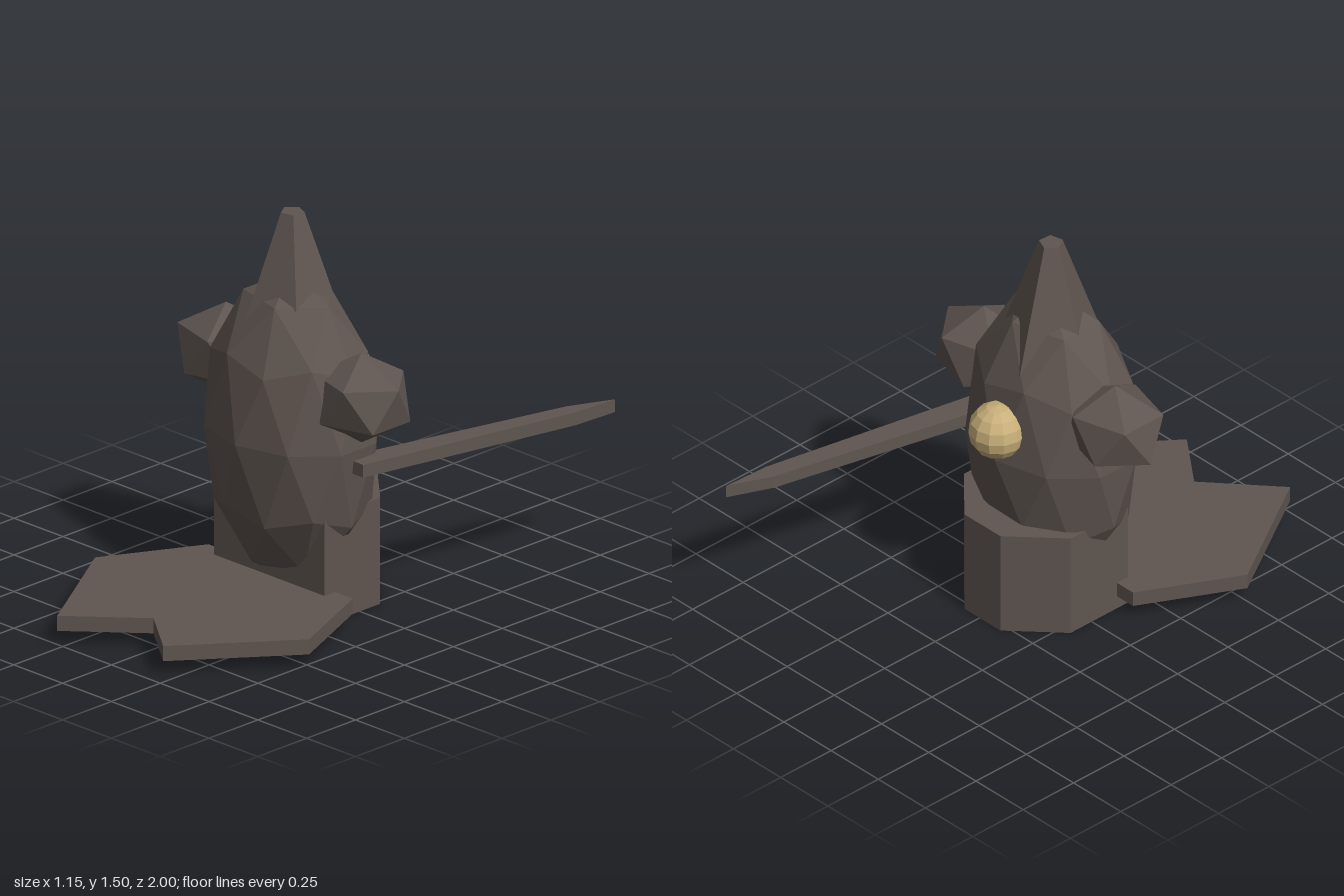
import * as THREE from 'three';

// Give every face its own flat normal
function faceted(geometry) {
  const g = geometry.index ? geometry.toNonIndexed() : geometry;
  g.computeVertexNormals();
  return g;
}

// Faceted ellipsoid with a vertex straight up and the next ring starting at +x
function icoBall(detail, rx, ry, rz) {
  const g = new THREE.IcosahedronGeometry(1, detail);
  g.rotateX(-Math.atan((1 + Math.sqrt(5)) / 2));
  g.rotateY(Math.PI / 2);
  g.scale(rx, ry, rz);
  return faceted(g);
}

// Horizontal slab from a list of [x, z] corners
function slab(corners, bottom, top) {
  const shape = new THREE.Shape(corners.map(([x, z]) => new THREE.Vector2(x, -z)));
  const g = new THREE.ExtrudeGeometry(shape, { depth: top - bottom, bevelEnabled: false });
  g.rotateX(-Math.PI / 2);
  g.translate(0, bottom, 0);
  return g;
}

export function createModel() {
  const model = new THREE.Group();
  model.name = 'model';

  const brown = new THREE.MeshStandardMaterial({ color: 0x5f5550 });
  brown.name = 'grey brown';
  const tan = new THREE.MeshStandardMaterial({ color: 0xc8af7a });
  tan.name = 'tan';

  const add = (name, geometry, material, x = 0, y = 0, z = 0) => {
    const mesh = new THREE.Mesh(geometry, material);
    mesh.name = name;
    mesh.position.set(x, y, z);
    model.add(mesh);
    return mesh;
  };

  // Egg-shaped body
  add('body', icoBall(1, 0.365, 0.6, 0.287), brown, -0.012, 0.67, 0.07);

  // Side lumps
  add('leftLump', icoBall(0, 0.212, 0.175, 0.182), brown, 0.335, 0.87, 0.055);
  add('rightLump', icoBall(0, 0.212, 0.175, 0.182), brown, -0.36, 0.87, 0.055);

  // Five-sided peak, blunt at the top
  const peak = add('peak', faceted(new THREE.CylinderGeometry(0.045, 0.22, 0.5, 5)), brown, -0.015, 1.25, 0.06);
  peak.rotation.y = THREE.MathUtils.degToRad(-22);

  // Round knob on the back
  add('backKnob', faceted(new THREE.SphereGeometry(0.108, 12, 8)), tan, -0.015, 0.8, -0.205);

  // Base block with chamfered back corners
  add('baseBlock', slab([
    [-0.295, 0.18], [0.27, 0.18], [0.27, -0.105],
    [0.08, -0.28], [-0.11, -0.28], [-0.295, -0.105],
  ], 0, 0.415), brown);

  // Notched plate spreading forward near the ground
  add('frontPlate', slab([
    [-0.38, 0.125], [-0.58, 0.505], [-0.278, 1], [-0.015, 0.77],
    [0.2, 0.935], [0.527, 0.515], [0.36, 0.125],
  ], 0.053, 0.112), brown);

  // Long blade reaching backward on the left
  add('blade', slab([
    [0.275, 0.092], [0.38, 0.092], [0.565, -0.81], [0.575, -1], [0.5, -0.83],
  ], 0.58, 0.63), brown);

  return model;
}
